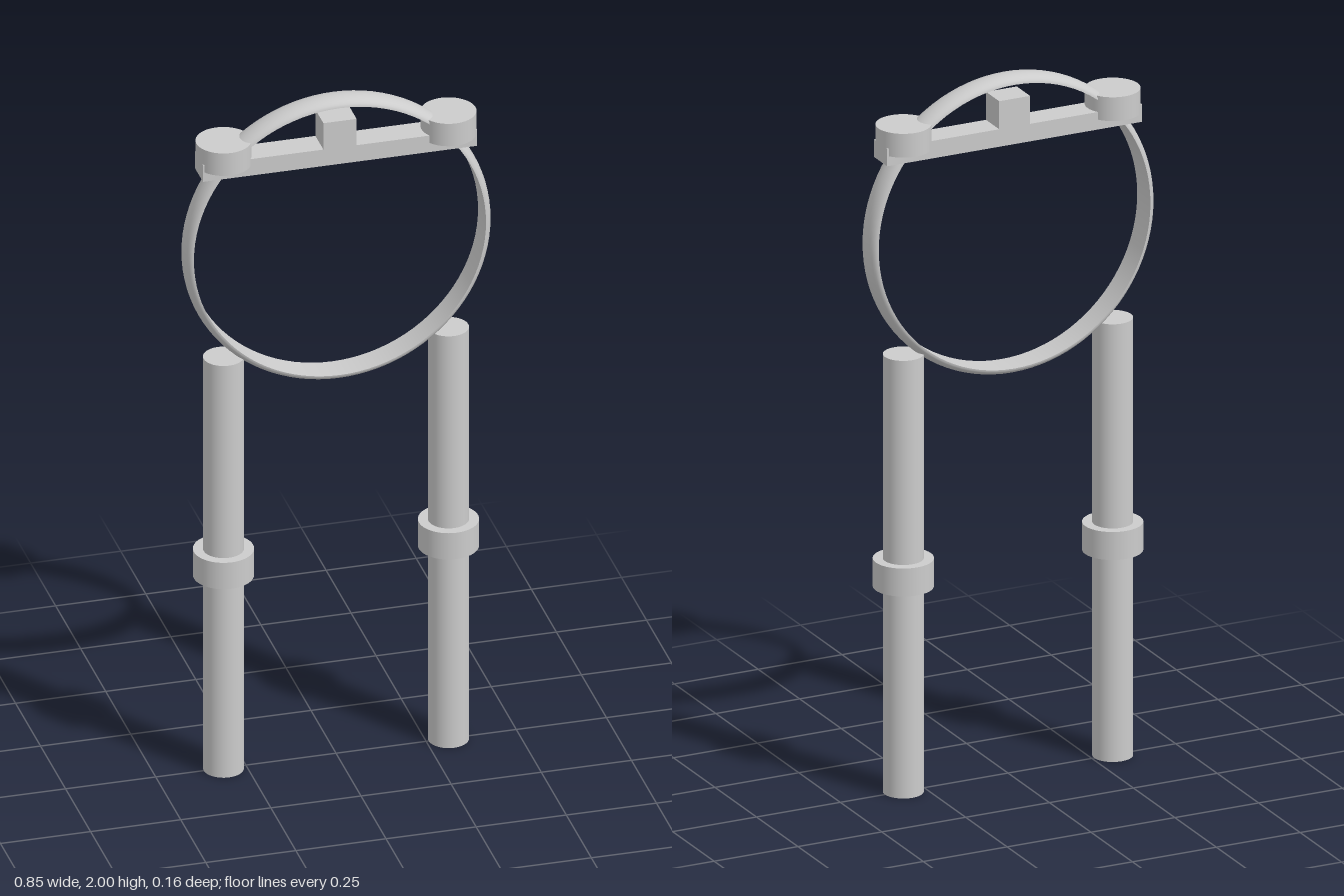
import * as THREE from 'three';

const material = new THREE.MeshStandardMaterial({ color: 0xcccccc });

function add(parent, name, geometry, x = 0, y = 0, z = 0) {
  const mesh = new THREE.Mesh(geometry, material);
  mesh.name = name;
  mesh.position.set(x, y, z);
  parent.add(mesh);
  return mesh;
}

// Upright cylinder spanning y0 to y1
function post(parent, name, radius, y0, y1, x) {
  add(parent, name, new THREE.CylinderGeometry(radius, radius, y1 - y0, 48), x, (y0 + y1) / 2);
}

// Box spanning y0 to y1, centred on x and z
function block(parent, name, width, y0, y1, depth) {
  add(parent, name, new THREE.BoxGeometry(width, y1 - y0, depth), 0, (y0 + y1) / 2);
}

export function createModel() {
  const model = new THREE.Group();
  model.name = 'ringOnTwoLegs';

  // Ring band: flat inside, domed outside
  const inner = 0.405, bulge = 0.021, half = 0.04, centreY = 1.574;
  const dome = [];
  for (let i = 0; i <= 16; i++) {
    const a = -Math.PI / 2 + (Math.PI * i) / 16;
    dome.push(new THREE.Vector2(inner + bulge * Math.cos(a), half * Math.sin(a)));
  }
  const flat = [new THREE.Vector2(inner, half), new THREE.Vector2(inner, -half)];
  const ring = new THREE.Group();
  ring.name = 'ring';
  ring.position.y = centreY;
  ring.rotation.x = Math.PI / 2;
  add(ring, 'ringOuterFace', new THREE.LatheGeometry(dome, 96));
  add(ring, 'ringInnerFace', new THREE.LatheGeometry(flat, 96));
  model.add(ring);

  // Crossbar with its central stub
  block(model, 'crossbar', 0.76, 1.81, 1.86, 0.08);
  block(model, 'centreStub', 0.092, 1.81, 1.94, 0.08);

  // Mirrored legs, collars and end caps on the crossbar
  for (const [side, s] of [['left', 1], ['right', -1]]) {
    const x = s * 0.312;
    post(model, side + 'Leg', 0.055, 0, 1.25, x);
    post(model, side + 'LegCollar', 0.082, 0.587, 0.667, x);
    post(model, side + 'CrossbarCap', 0.075, 1.838, 1.906, x);
  }

  return model;
}
